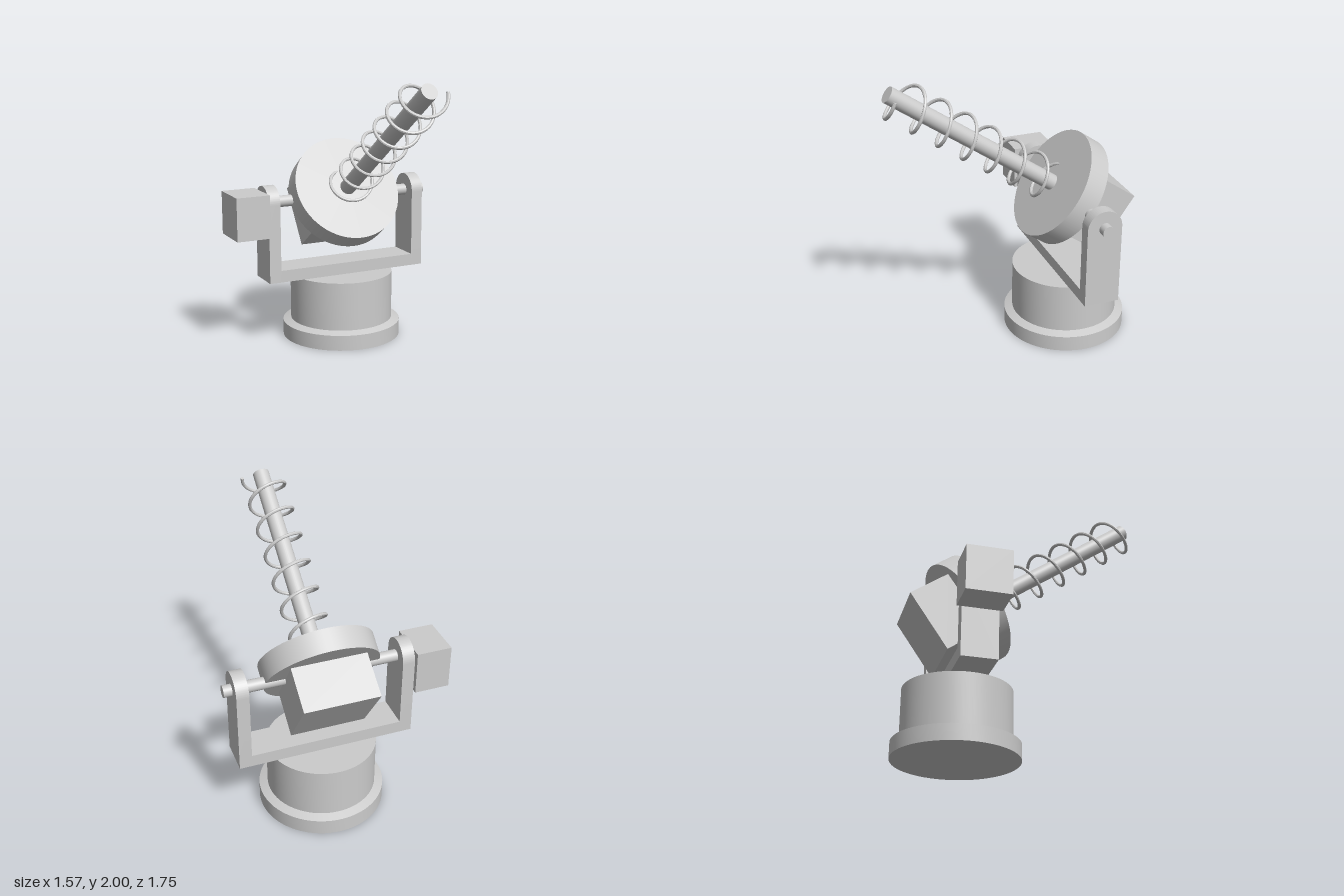
import * as THREE from 'three';
import { toCreasedNormals } from 'three/addons/utils/BufferGeometryUtils.js';

const CX = 0.095;   // turntable axis
const CZ = -0.43;
const PIVOT_Y = 1.065;

// Helix winding around the local z axis
class Helix extends THREE.Curve {
  constructor(radius, start, end, turns) {
    super();
    Object.assign(this, { radius, start, end, turns });
  }
  getPoint(t, target = new THREE.Vector3()) {
    const a = t * this.turns * Math.PI * 2;
    return target.set(
      this.radius * Math.cos(a),
      this.radius * Math.sin(a),
      this.start + t * (this.end - this.start)
    );
  }
}

export function createModel() {
  const model = new THREE.Group();
  model.name = 'turret';

  const metal = new THREE.MeshStandardMaterial({ color: 0xcccccc });
  metal.name = 'light grey metal';

  const add = (parent, name, geometry, x = 0, y = 0, z = 0) => {
    const mesh = new THREE.Mesh(geometry, metal);
    mesh.name = name;
    mesh.position.set(x, y, z);
    parent.add(mesh);
    return mesh;
  };

  // Round base: foot with a sloping shoulder and a narrower drum
  const profile = [
    [0, 0], [0.442, 0], [0.442, 0.113], [0.383, 0.133], [0.383, 0.49], [0, 0.49],
  ].map(([r, y]) => new THREE.Vector2(r, y));
  add(model, 'base', toCreasedNormals(new THREE.LatheGeometry(profile, 64), 0.5), CX, 0, CZ);

  // U-shaped yoke: bar and two round-topped arms
  const yoke = new THREE.Group();
  yoke.name = 'yoke';
  model.add(yoke);
  const half = 0.125, wall = 0.088, outer = 0.6275;
  add(yoke, 'yokeBar', new THREE.BoxGeometry(2 * (outer - wall), wall, 2 * half), CX, 0.49 + wall / 2, CZ);

  const armShape = new THREE.Shape();
  armShape.moveTo(-half, 0.49);
  armShape.lineTo(half, 0.49);
  armShape.lineTo(half, PIVOT_Y);
  armShape.absarc(0, PIVOT_Y, half, 0, Math.PI, false);
  armShape.closePath();
  const armGeometry = toCreasedNormals(
    new THREE.ExtrudeGeometry(armShape, { depth: wall, bevelEnabled: false, curveSegments: 32 })
      .rotateY(Math.PI / 2),
    0.5
  );
  add(yoke, 'rightArm', armGeometry, CX - outer, 0, CZ);
  add(yoke, 'leftArm', armGeometry, CX + outer - wall, 0, CZ);

  // Tilt shaft and its motor
  const x0 = -0.535, x1 = 0.782;
  add(model, 'tiltShaft', new THREE.CylinderGeometry(0.042, 0.042, x1 - x0, 32).rotateZ(Math.PI / 2),
    (x0 + x1) / 2, PIVOT_Y, CZ);
  add(model, 'tiltMotor', new THREE.BoxGeometry(0.25, 0.315, 0.309), -0.658, 0.991, -0.4345);

  // Tilting head, pointing along its own +z
  const head = new THREE.Group();
  head.name = 'head';
  head.position.set(CX, PIVOT_Y, CZ);
  head.rotation.x = -THREE.MathUtils.degToRad(35);
  model.add(head);

  const rod = (radius, from, to, segments) =>
    new THREE.CylinderGeometry(radius, radius, to - from, segments)
      .rotateX(Math.PI / 2)
      .translate(0, 0, (from + to) / 2);

  add(head, 'disk', rod(0.405, -0.016, 0.144, 64));
  add(head, 'rearHousing', new THREE.BoxGeometry(0.53, 0.468, 0.311), 0, 0, -0.1715);
  add(head, 'barrel', rod(0.058, 0.1, 1.544, 32));

  // Eight-sided coil spring around the barrel, rooted in the disk, with a flat tip
  const helix = new Helix(0.143, 0.07, 1.526, 7);
  const wire = 0.012, sides = 8;
  add(head, 'coil', toCreasedNormals(new THREE.TubeGeometry(helix, 336, wire, sides), 0.5));
  const tip = add(head, 'coilTip', new THREE.CircleGeometry(wire, sides), ...helix.getPoint(1).toArray());
  tip.quaternion.setFromUnitVectors(new THREE.Vector3(0, 0, 1), helix.getTangent(1));

  return model;
}
